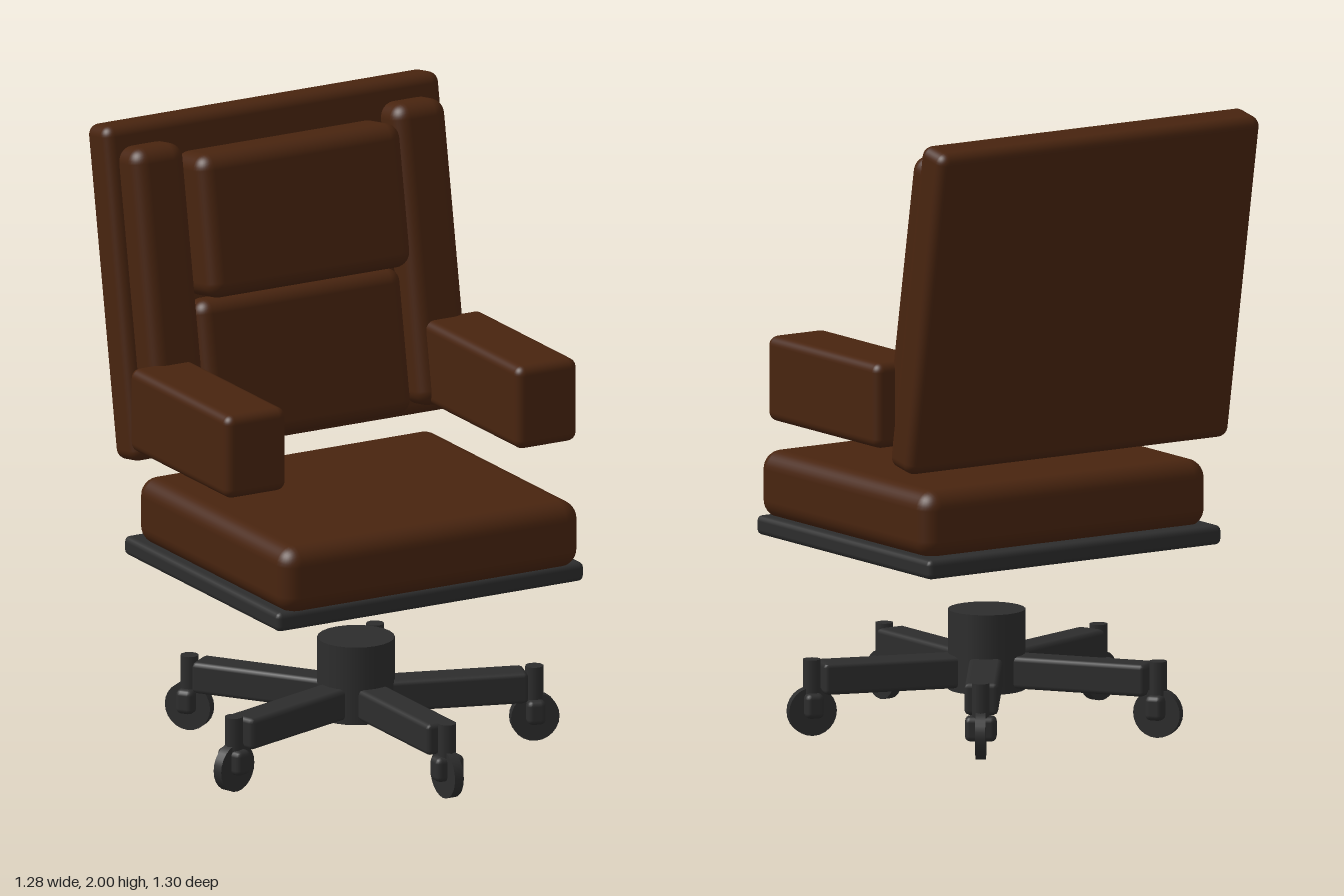
import * as THREE from 'three';
import { RoundedBoxGeometry } from 'three/addons/geometries/RoundedBoxGeometry.js';

const leather = new THREE.MeshStandardMaterial({ color: 0x48240f });
leather.name = 'brown leather';
const plastic = new THREE.MeshStandardMaterial({ color: 0x2d2d2d });
plastic.name = 'dark grey plastic';

// Rounded block given by its extents on each axis
function block(name, material, [x0, x1], [y0, y1], [z0, z1], radius, segments = 4) {
  const geometry = new RoundedBoxGeometry(x1 - x0, y1 - y0, z1 - z0, segments, radius);
  const mesh = new THREE.Mesh(geometry, material);
  mesh.position.set((x0 + x1) / 2, (y0 + y1) / 2, (z0 + z1) / 2);
  mesh.name = name;
  return mesh;
}

function cylinder(name, radius, height, y, sides) {
  const mesh = new THREE.Mesh(new THREE.CylinderGeometry(radius, radius, height, sides), plastic);
  mesh.position.y = y;
  mesh.name = name;
  return mesh;
}

// Reclined back board with its cushions, built upright around its own centre
function createBackrest() {
  const back = new THREE.Group();
  back.name = 'backrest';
  back.position.set(0, 1.467, -0.495);
  back.rotation.x = THREE.MathUtils.degToRad(-10);
  back.add(
    block('backBoard', leather, [-0.61, 0.61], [-0.535, 0.535], [-0.066, 0.066], 0.035),
    block('headCushion', leather, [-0.37, 0.37], [-0.04, 0.42], [0.03, 0.23], 0.05),
    block('lumbarCushion', leather, [-0.37, 0.37], [-0.515, -0.05], [0.02, 0.145], 0.045)
  );
  for (const side of [-1, 1]) {
    const bolster = block('sideBolster', leather, [-0.095, 0.095], [-0.5, 0.465], [0.02, 0.172], 0.05);
    bolster.position.x = side * 0.475;
    back.add(bolster);
  }
  return back;
}

// One base arm pointing to +z with a caster at its tip
function createLeg() {
  const leg = new THREE.Group();
  leg.name = 'baseLeg';
  leg.add(block('legArm', plastic, [-0.053, 0.053], [0.135, 0.237], [0, 0.545], 0.015, 1));

  const caster = new THREE.Group();
  caster.name = 'caster';
  caster.position.z = 0.573;
  const wheel = cylinder('wheel', 0.078, 0.032, 0.08, 24);
  wheel.rotation.z = Math.PI / 2;
  caster.add(wheel, cylinder('stem', 0.029, 0.115, 0.188, 10));
  caster.add(block('fork', plastic, [-0.05, 0.05], [0.06, 0.14], [-0.03, 0.03], 0.018, 2));
  leg.add(caster);
  return leg;
}

export function createModel() {
  const chair = new THREE.Group();
  chair.name = 'officeChair';

  // Seat
  chair.add(
    block('seatPlate', plastic, [-0.557, 0.557], [0.6, 0.662], [-0.5, 0.475], 0.018, 2),
    block('seatCushion', leather, [-0.54, 0.54], [0.65, 0.868], [-0.46, 0.495], 0.06)
  );

  chair.add(createBackrest());

  // Armrests
  for (const side of [-1, 1]) {
    const armrest = block('armrest', leather, [-0.11, 0.11], [1.0, 1.272], [-0.327, 0.297], 0.03);
    armrest.position.x = side * 0.528;
    chair.add(armrest);
  }

  // Five-legged base
  const base = new THREE.Group();
  base.name = 'base';
  base.add(cylinder('hub', 0.122, 0.255, 0.25, 24));
  for (let i = 0; i < 5; i++) {
    const leg = createLeg();
    leg.rotation.y = (i * Math.PI * 2) / 5;
    base.add(leg);
  }
  chair.add(base);
  return chair;
}
